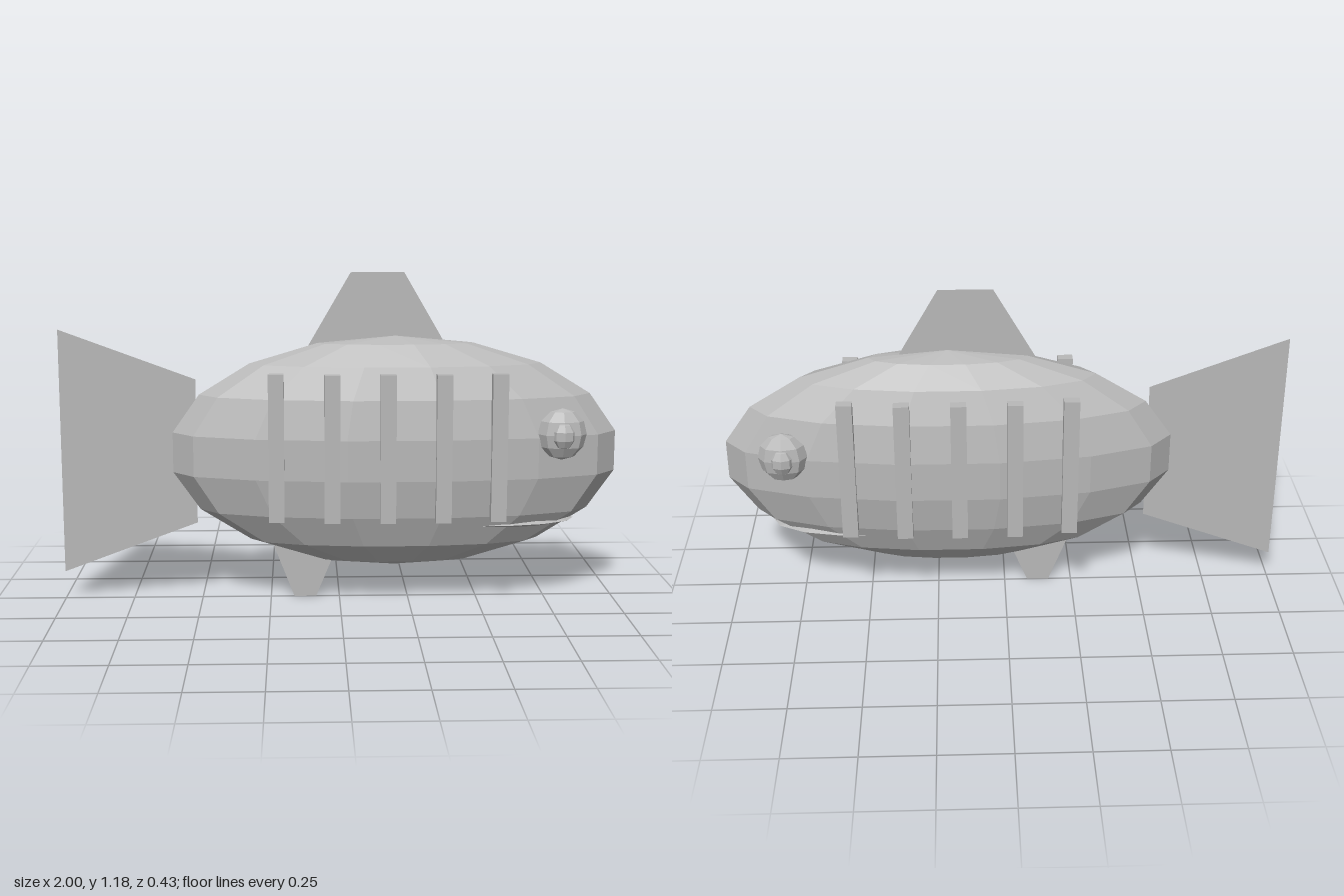
import * as THREE from 'three';

export function createModel() {
  const fish = new THREE.Group();
  fish.name = 'fish';
  const grey = new THREE.MeshStandardMaterial({ color: 0xb8b8b8, flatShading: true, side: THREE.DoubleSide });
  grey.name = 'plain grey';

  const add = (name, geometry, x = 0, y = 0, z = 0) => {
    const mesh = new THREE.Mesh(geometry, grey);
    mesh.name = name;
    mesh.position.set(x, y, z);
    fish.add(mesh);
    return mesh;
  };
  const ellipsoid = (rx, ry, rz, sides, rings) =>
    new THREE.SphereGeometry(1, sides, rings).scale(rx, ry, rz);

  // Body and the flat lip that barely breaks its surface
  add('body', ellipsoid(0.812, 0.42, 0.203, 14, 9), 0.2, 0.54);
  add('mouth', ellipsoid(0.335, 0.02, 0.14, 14, 6), 0.52, 0.292);

  // Flat fins in the middle plane
  const fin = (name, points) =>
    add(name, new THREE.ShapeGeometry(new THREE.Shape(points.map(([x, y]) => new THREE.Vector2(x, y)))));
  fin('tailFin', [[-1, 0.1], [-0.515, 0.28], [-0.515, 0.805], [-1, 0.985]]);
  fin('dorsalFin', [[-0.12, 0.91], [0.39, 0.91], [0.23, 1.185], [0.04, 1.185]]);
  fin('bellyFin', [[-0.165, 0], [-0.085, 0], [-0.015, 0.17], [-0.25, 0.22]]);

  // Raised stripes and eyes on both sides
  const stripeDepths = [0.175, 0.195, 0.198, 0.195, 0.18];
  for (const side of [1, -1]) {
    const label = side > 0 ? 'front' : 'back';
    stripeDepths.forEach((z, i) =>
      add(`${label}Stripe${i + 1}`, new THREE.BoxGeometry(0.055, 0.523, 0.038),
        -0.225 + i * 0.195, 0.584, side * z));
    add(`${label}Eye`, ellipsoid(0.087, 0.092, 0.05, 8, 6), 0.78, 0.627, side * 0.15);
    add(`${label}Pupil`, ellipsoid(0.043, 0.05, 0.034, 8, 5), 0.78, 0.625, side * 0.18);
  }
  return fish;
}
